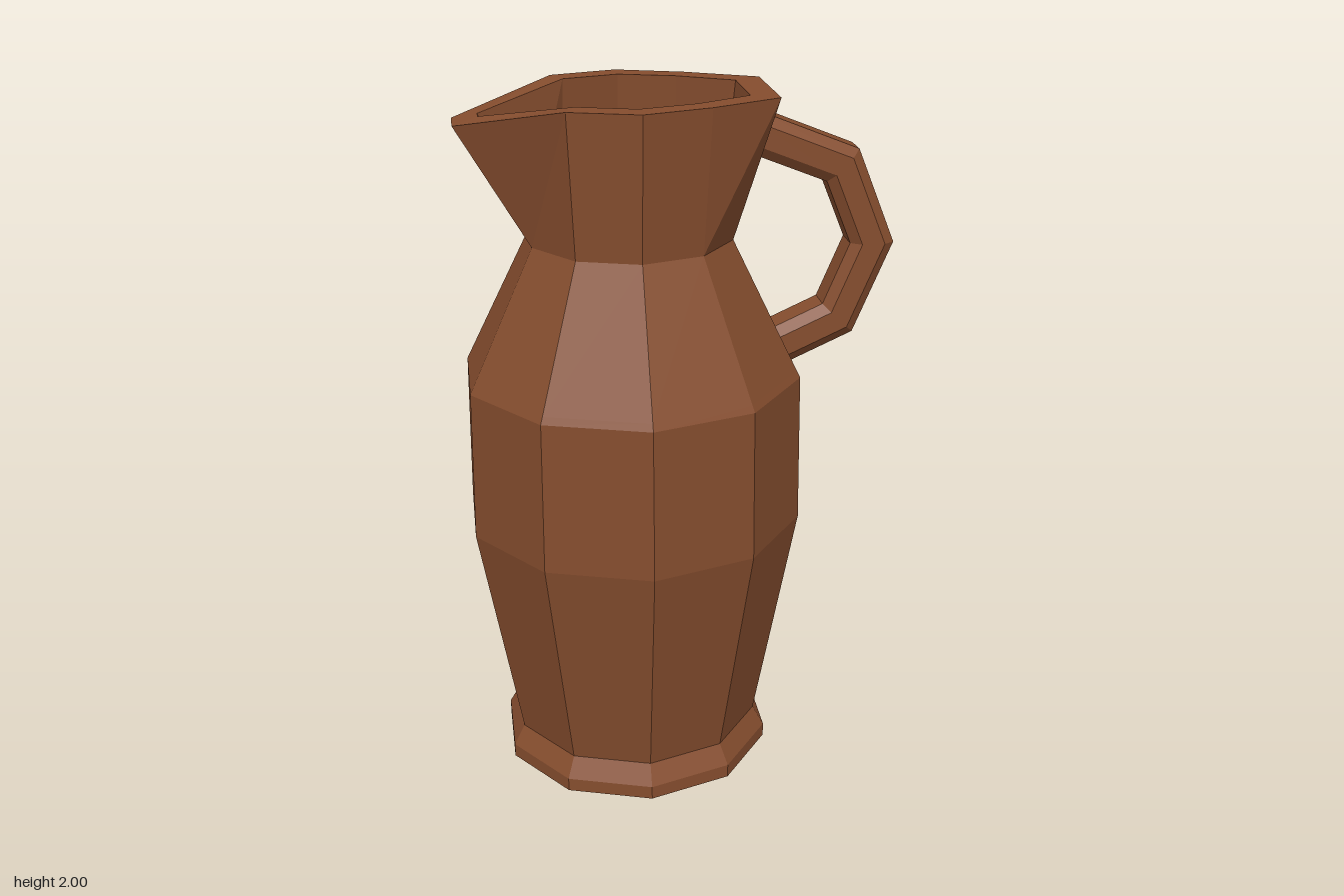
import * as THREE from 'three';

const SIDES = 10;
const AXIS_X = -0.14; // the jug sits off-centre to make room for the handle

// Joins equal-length rings of [x, y, z] points with faces and closes both ends.
function loft(rings) {
  const pos = [];
  const tri = (a, b, c) => pos.push(...a, ...b, ...c);
  const n = rings[0].length;
  for (let i = 0; i < rings.length - 1; i++) {
    for (let k = 0; k < n; k++) {
      const j = (k + 1) % n;
      tri(rings[i][k], rings[i][j], rings[i + 1][j]);
      tri(rings[i][k], rings[i + 1][j], rings[i + 1][k]);
    }
  }
  const first = rings[0], last = rings[rings.length - 1];
  for (let k = 1; k < n - 1; k++) {
    tri(first[0], first[k + 1], first[k]);
    tri(last[0], last[k], last[k + 1]);
  }
  const geo = new THREE.BufferGeometry();
  geo.setAttribute('position', new THREE.Float32BufferAttribute(pos, 3));
  geo.computeVertexNormals();
  return geo;
}

// Regular ring around the jug axis, starting at the spout side.
function roundRing(r, y) {
  return Array.from({ length: SIDES }, (_, k) => {
    const a = (-72 + 36 * k) * Math.PI / 180;
    return [AXIS_X + r * Math.sin(a), y, r * Math.cos(a)];
  });
}

// Rim ring mirrored from its front half, listed from spout to handle.
function rimRing(half) {
  const back = half.map(([x, y, z]) => [x, y, -z]).reverse();
  return [...half, ...back];
}

function bodyGeometry() {
  const outside = [
    [0.407, 0], [0.407, 0.04], [0.373, 0.1],  // foot
    [0.495, 0.77], [0.489, 1.205],            // belly
    [0.479, 1.225], [0.292, 1.6],             // shoulder and neck
  ].map(([r, y]) => roundRing(r, y));
  const outerRim = rimRing([
    [-0.615, 1.93, 0.055], [-0.33, 2, 0.265], [-0.14, 2, 0.325],
    [0.05, 2, 0.26], [0.25, 2, 0.155],
  ]);
  const innerRim = rimRing([
    [-0.545, 1.947, 0.02], [-0.3, 2, 0.2], [-0.14, 2, 0.25],
    [0.02, 2, 0.2], [0.175, 2, 0.11],
  ]);
  const inside = [
    [0.284, 1.6], [0.44, 1.2], [0.45, 0.77], [0.33, 0.1],
  ].map(([r, y]) => roundRing(r, y));
  return loft([...outside, outerRim, innerRim, ...inside]);
}

function handleGeometry() {
  const path = [
    [0.19, 1.89], [0.455, 1.785], [0.547, 1.56], [0.455, 1.34], [0.25, 1.248],
  ].map(([x, y]) => new THREE.Vector2(x, y));
  // Bevelled section: offset in the bend plane, offset in z
  const section = [
    [0.058, -0.042], [0.058, 0.042], [0.03, 0.065], [-0.03, 0.065],
    [-0.058, 0.042], [-0.058, -0.042], [-0.03, -0.065], [0.03, -0.065],
  ];
  const dir = (i) => path[i + 1].clone().sub(path[i]).normalize();
  const last = path.length - 1;
  const rings = path.map((p, i) => {
    // Mitred joint between the two neighbouring segments
    const before = dir(Math.max(i - 1, 0));
    const after = dir(Math.min(i, last - 1));
    const t = before.clone().add(after).normalize();
    const s = 1 / t.dot(before);
    return section.map(([u, v]) => [p.x - t.y * u * s, p.y + t.x * u * s, v - 0.006]);
  });
  return loft(rings);
}

export function createModel() {
  const clay = new THREE.MeshStandardMaterial({ color: 0x854d2e, flatShading: true });
  const group = new THREE.Group();
  group.name = 'jug';
  const add = (name, geo) => {
    const mesh = new THREE.Mesh(geo, clay);
    mesh.name = name;
    group.add(mesh);
  };
  add('body', bodyGeometry());
  add('handle', handleGeometry());
  return group;
}
